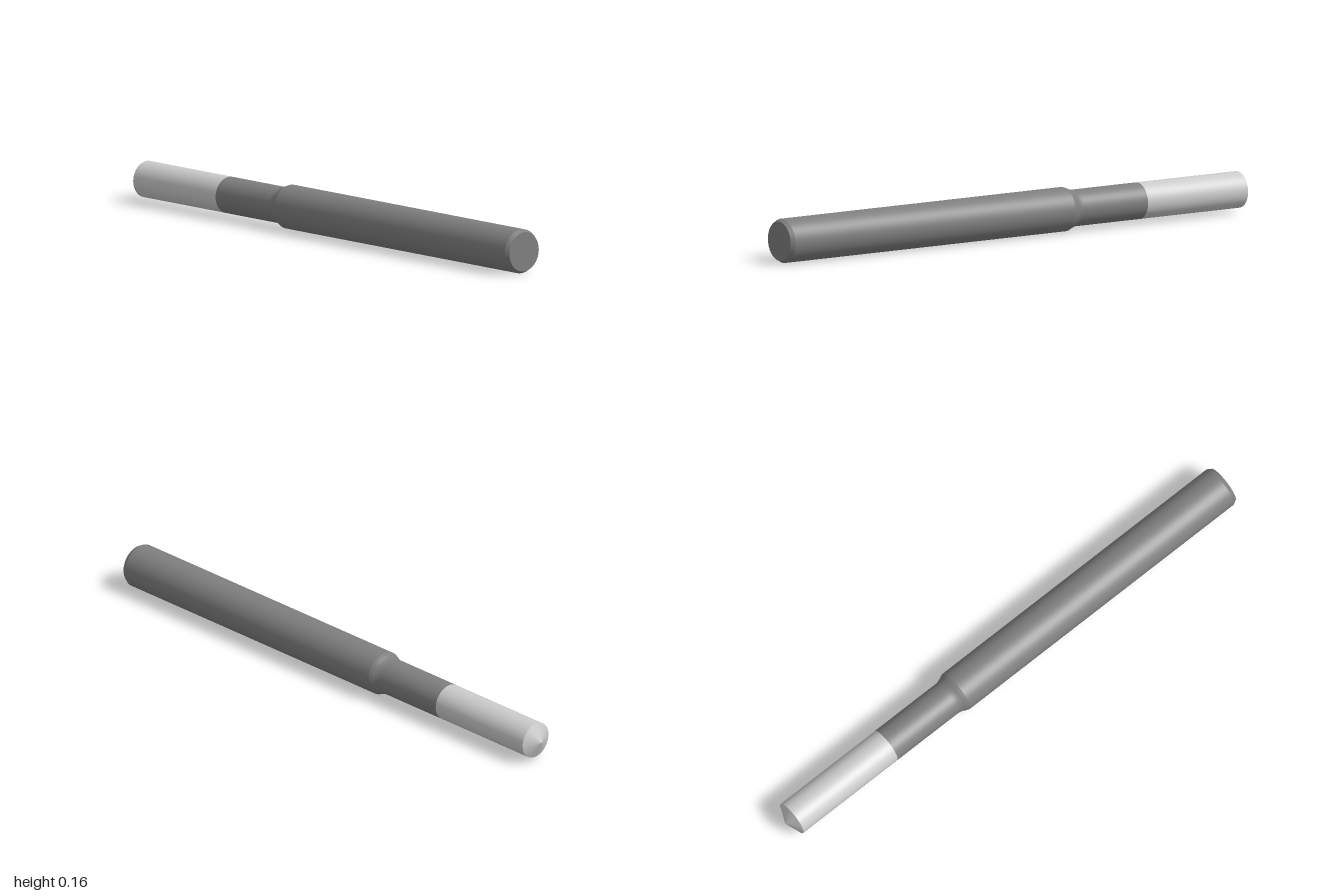
import * as THREE from 'three';
import { mergeGeometries } from 'three/addons/utils/BufferGeometryUtils.js';

const R = 0.0785;        // shank radius
const r = 0.065;         // neck and tip radius
const SEGMENTS = 64;

// Turns profiles of [radius, z], listed from back to front; each profile is smooth,
// and the joints between profiles stay sharp.
function turned(name, color, profiles) {
  const parts = profiles.map((profile) => new THREE.LatheGeometry(
    profile.map(([radius, z]) => new THREE.Vector2(radius, z)), SEGMENTS));
  const geometry = mergeGeometries(parts).rotateX(Math.PI / 2);
  const mesh = new THREE.Mesh(geometry, new THREE.MeshStandardMaterial({ color }));
  mesh.name = name;
  mesh.position.y = R;
  return mesh;
}

export function createModel() {
  const model = new THREE.Group();
  model.name = 'steppedPin';

  // Concave fillet running from the neck up to the shoulder
  const fillet = [];
  for (let i = 0; i <= 8; i++) {
    const t = i / 8;
    fillet.push([r + 0.009 * t * t, -0.265 + 0.033 * t]);
  }

  // Bright tip with a shallow conical point
  model.add(turned('tip', 0xcccccc, [
    [[0, -1], [r, -0.97]],
    [[r, -0.97], [r, -0.54]],
  ]));

  // Dark neck between tip and shoulder
  model.add(turned('neck', 0x7f7f7f, [
    [[r, -0.54], [r, -0.265]],
  ]));

  // Shoulder, shank, chamfer and flat end
  model.add(turned('shank', 0x7f7f7f, [
    fillet,
    [[r + 0.009, -0.232], [R, -0.22]],
    [[R, -0.22], [R, 0.985]],
    [[R, 0.985], [0.07, 1]],
    [[0.07, 1], [0, 1]],
  ]));

  return model;
}
